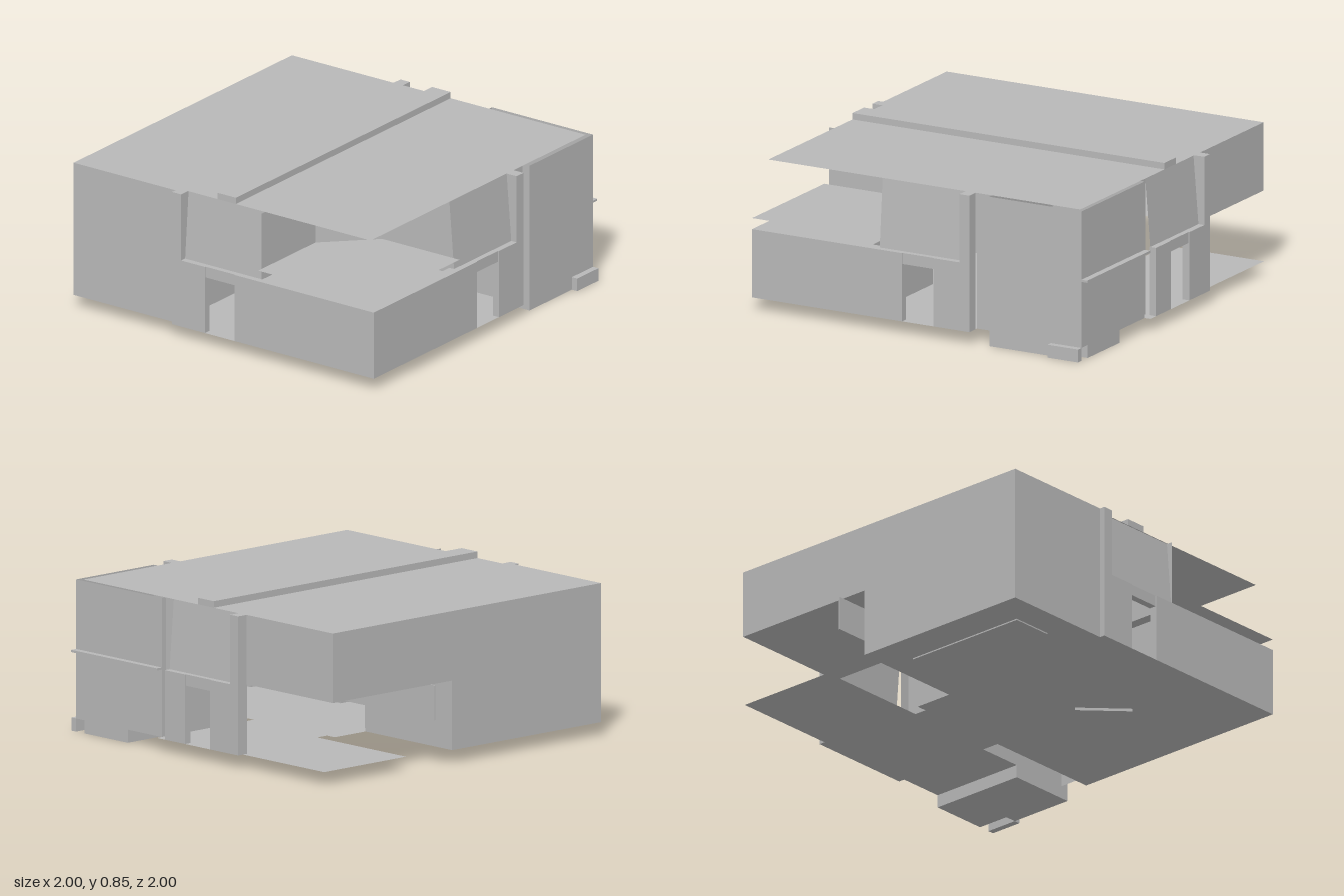
import * as THREE from 'three';

const wallMat = new THREE.MeshStandardMaterial({ color: 0xb8b8b8, side: THREE.DoubleSide });
wallMat.name = 'plainGrey';

// Box given by its limits on each axis
function slab(parent, name, x0, x1, y0, y1, z0, z1) {
  const mesh = new THREE.Mesh(new THREE.BoxGeometry(x1 - x0, y1 - y0, z1 - z0), wallMat);
  mesh.position.set((x0 + x1) / 2, (y0 + y1) / 2, (z0 + z1) / 2);
  mesh.name = name;
  parent.add(mesh);
  return mesh;
}

// Upright sheet between two plan points
function sheet(parent, name, xa, za, xb, zb, y0, y1) {
  const mesh = new THREE.Mesh(new THREE.PlaneGeometry(Math.hypot(xb - xa, zb - za), y1 - y0), wallMat);
  mesh.position.set((xa + xb) / 2, (y0 + y1) / 2, (za + zb) / 2);
  mesh.rotation.y = -Math.atan2(zb - za, xb - xa);
  mesh.name = name;
  parent.add(mesh);
}

// Flat sheet at one height
function deck(parent, name, x0, x1, z0, z1, y) {
  const mesh = new THREE.Mesh(new THREE.PlaneGeometry(x1 - x0, z1 - z0), wallMat);
  mesh.rotation.x = -Math.PI / 2;
  mesh.position.set((x0 + x1) / 2, y, (z0 + z1) / 2);
  mesh.name = name;
  parent.add(mesh);
}

const FLOOR = 0.07, MID = 0.44, TOP = 0.81;

// Entry built facing +z, then turned to its side; each flank is 'none', 'low' or 'full'
function entry(name, turn, flanks) {
  const g = new THREE.Group();
  g.name = name;
  // leaning panel above the doorway
  const panel = new THREE.Mesh(new THREE.PlaneGeometry(0.5, Math.hypot(TOP - MID, 0.03)), wallMat);
  panel.position.set(0, (TOP + MID) / 2, 0.95);
  panel.rotation.x = -Math.atan2(0.03, TOP - MID);
  panel.name = 'upperPanel';
  g.add(panel);
  slab(g, 'doorLintel', -0.1, 0.1, 0.38, MID, 0.955, 0.995);
  [-1, 1].forEach((s, i) => {
    const pair = (a, b) => (s > 0 ? [a, b] : [-b, -a]);
    slab(g, 'doorPillar', ...pair(0.095, 0.25), FLOOR, MID, 0.96, 1.0);
    if (flanks[i] !== 'none') {
      const top = flanks[i] === 'full' ? TOP : MID;
      slab(g, 'sideFin', ...pair(0.25, 0.31), FLOOR, top, 0.935, 1.0);
    }
  });
  g.rotation.y = turn;
  return g;
}

export function createModel() {
  const model = new THREE.Group();
  model.name = 'house';

  // Roof and ridge
  deck(model, 'mainRoof', -0.94, 0.94, -0.97, 0.935, TOP);
  slab(model, 'roofRidge', -0.94, 0.94, TOP, 0.845, -0.06, 0.06);

  // Ground floor plates
  deck(model, 'mainFloor', -1.0, 0.31, -0.31, 1.0, FLOOR);
  deck(model, 'backFloor', -0.97, 0.09, -0.97, -0.31, FLOOR);
  deck(model, 'sideFloor', 0.31, 1.0, -0.25, 0.31, FLOOR);
  deck(model, 'carportFloor', 0.38, 0.965, -0.93, -0.25, FLOOR);
  slab(model, 'floorPatch', -0.8, -0.07, 0.063, FLOOR, -0.77, -0.53);
  const bar = slab(model, 'floorBar', -0.54, -0.24, 0.055, FLOOR, 0.35, 0.37);
  bar.rotation.y = Math.PI / 4;

  // Entries on three sides
  model.add(entry('frontEntry', 0, ['low', 'full']));
  model.add(entry('leftEntry', Math.PI / 2, ['none', 'full']));
  model.add(entry('rightEntry', -Math.PI / 2, ['full', 'low']));

  // Low front wing with its raised flat roof
  slab(model, 'lowWing', -1.0, -0.31, FLOOR, MID, 0.31, 1.0);
  deck(model, 'lowWingRoof', -1.0, -0.25, 0.25, 1.0, 0.5);

  // Upper walls set back behind the low roof
  sheet(model, 'terraceWall', -0.97, 0.25, -0.5, 0.25, MID, TOP);
  sheet(model, 'terraceCornerWall', -0.5, 0.25, -0.25, 0.5, MID, TOP);
  sheet(model, 'terraceSideWall', -0.25, 0.5, -0.25, 0.935, MID, TOP);

  // Tall front wing with a sunken base
  sheet(model, 'tallWingFront', 0.41, 0.965, 0.965, 0.965, FLOOR, TOP);
  sheet(model, 'tallWingSide', 0.965, 0.965, 0.965, 0.31, FLOOR, TOP);
  sheet(model, 'tallWingBack', 0.41, 0.31, 0.965, 0.31, FLOOR, TOP);
  sheet(model, 'tallWingInner', 0.41, 0.31, 0.41, 0.965, FLOOR, TOP);
  slab(model, 'sunkenBase', 0.41, 0.78, 0, FLOOR, 0.57, 0.965);
  slab(model, 'sunkenBaseSide', 0.78, 0.965, 0, FLOOR, 0.57, 0.9);
  slab(model, 'sunkenStep', 0.78, 0.965, 0, FLOOR, 0.965, 1.0);
  deck(model, 'tallWingFloor', 0.41, 0.965, 0.31, 0.57, FLOOR);
  slab(model, 'sideLedge', 0.965, 1.0, 0.428, MID, 0.31, 0.965);

  // Recessed walls joining the entries to the tall wing
  sheet(model, 'frontRecessWall', 0.31, 0.92, 0.41, 0.92, FLOOR, TOP);
  sheet(model, 'sideRecessWall', 0.935, 0.25, 0.935, 0.31, FLOOR, TOP);

  // Back wing, full height on one half
  sheet(model, 'backWall', -0.97, -0.97, 0.09, -0.97, FLOOR, TOP);
  sheet(model, 'backWingSide', -0.97, -0.97, -0.97, -0.25, FLOOR, TOP);
  deck(model, 'backWingCap', -0.97, -0.94, -0.97, -0.25, TOP);
  sheet(model, 'carportWall', 0.09, -0.97, 0.09, -0.31, FLOOR, MID);
  sheet(model, 'hallWall', -0.97, -0.31, 0.09, -0.31, FLOOR, MID);

  // Upper room over the open carport
  sheet(model, 'upperBackWall', 0.09, -0.97, 0.94, -0.97, MID, TOP);
  sheet(model, 'upperSideWall', 0.94, -0.97, 0.94, -0.25, MID, TOP);
  deck(model, 'carportCeiling', 0.09, 0.94, -0.97, -0.25, MID);
  slab(model, 'hangingPanel', 0.237, 0.243, 0.255, MID, -1.0, -0.31);
  slab(model, 'hangingBox', 0.09, 0.24, 0.255, MID, -0.72, -0.4);

  // Fittings seen through the front doorway
  slab(model, 'hallShelf', -0.1, 0.0, 0.19, 0.24, -0.3, -0.18);
  slab(model, 'hallPost', 0.0, 0.03, FLOOR, 0.38, -0.3, -0.24);

  return model;
}
